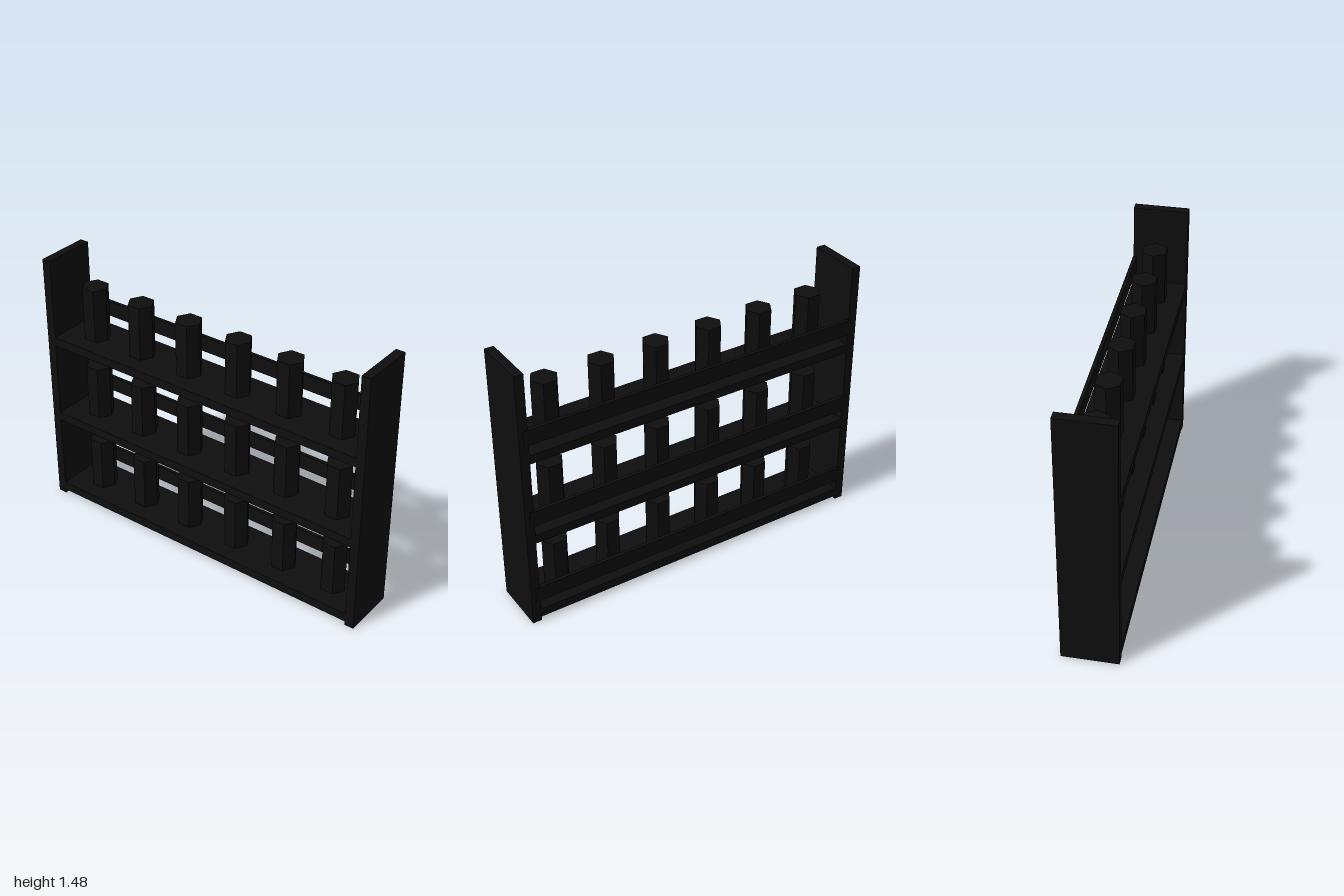
import * as THREE from 'three';

const black = new THREE.MeshStandardMaterial({ color: 0x0e0e0e, flatShading: true });
black.name = 'matte black';

export function createModel() {
  const rack = new THREE.Group();
  rack.name = 'bottleRack';

  const add = (parent, name, geometry, x, y, z) => {
    const mesh = new THREE.Mesh(geometry, black);
    mesh.name = name;
    mesh.position.set(x, y, z);
    parent.add(mesh);
  };

  // Upright side panels
  const panel = new THREE.BoxGeometry(0.05, 1.475, 0.3);
  add(rack, 'leftPanel', panel, 0.975, 0.7375, 0.002);
  add(rack, 'rightPanel', panel, -0.975, 0.7375, 0.002);

  // Shared parts of each tier
  const shelf = new THREE.BoxGeometry(1.9, 0.05, 0.3);
  const rail = new THREE.BoxGeometry(1.95, 0.087, 0.02);
  const canister = new THREE.CylinderGeometry(0.0725, 0.0725, 0.303, 6);
  canister.rotateY(Math.PI / 6); // corners point sideways

  // Three tiers: shelf, back rail and a row of six hexagonal canisters
  for (let i = 0; i < 3; i++) {
    const tier = new THREE.Group();
    tier.name = `tier${i + 1}`;
    tier.position.y = 0.022 + i * 0.476;
    add(tier, 'shelf', shelf, 0, 0.025, 0.002);
    add(tier, 'backRail', rail, 0, 0.153, -0.142);
    for (let j = 0; j < 6; j++) {
      add(tier, 'canister', canister, (j - 2.5) * 0.311, 0.2015, 0);
    }
    rack.add(tier);
  }
  return rack;
}
